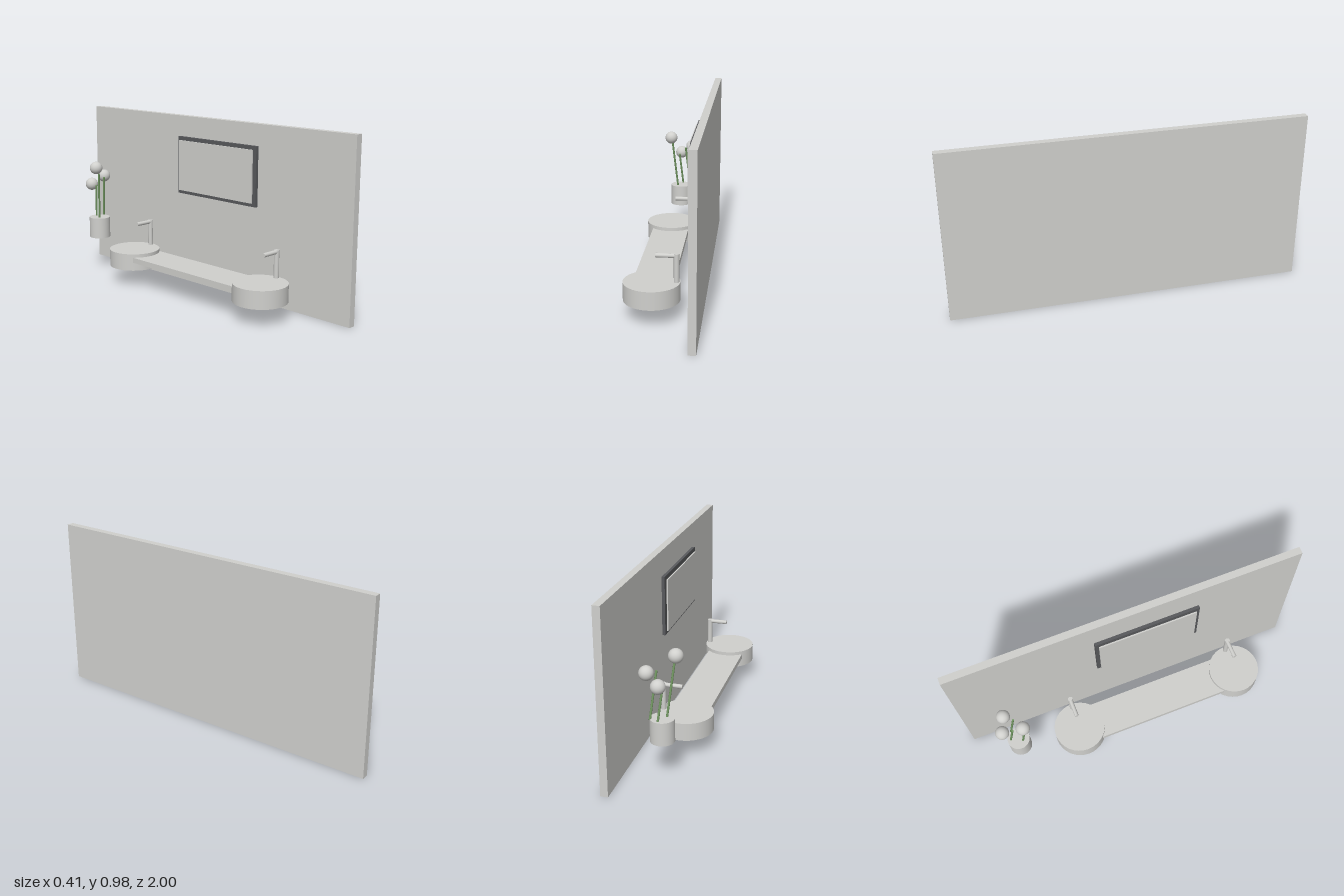
import * as THREE from 'three';

const mat = (name, color, flatShading = false) => {
  const m = new THREE.MeshStandardMaterial({ color, flatShading });
  m.name = name;
  return m;
};

export function createModel() {
  const model = new THREE.Group();
  const stone = mat('paleGrey', 0xd0d0cd);
  const frameDark = mat('darkGrey', 0x58595c);
  const green = mat('stemGreen', 0x749a64);

  const add = (name, geometry, material, x = 0, y = 0, z = 0, parent = model) => {
    const mesh = new THREE.Mesh(geometry, material);
    mesh.name = name;
    mesh.position.set(x, y, z);
    parent.add(mesh);
    return mesh;
  };

  // Box given by its limits on each axis
  const addBox = (name, material, [x0, x1], [y0, y1], [z0, z1]) =>
    add(name, new THREE.BoxGeometry(x1 - x0, y1 - y0, z1 - z0), material,
      (x0 + x1) / 2, (y0 + y1) / 2, (z0 + z1) / 2);

  // Cylinder running between two points
  const addRod = (name, material, from, to, radius, sides, parent) => {
    const a = new THREE.Vector3(...from);
    const b = new THREE.Vector3(...to);
    const dir = b.clone().sub(a);
    const mid = a.clone().add(b).multiplyScalar(0.5);
    const rod = add(name, new THREE.CylinderGeometry(radius, radius, dir.length(), sides),
      material, mid.x, mid.y, mid.z, parent);
    rod.quaternion.setFromUnitVectors(new THREE.Vector3(0, 1, 0), dir.normalize());
  };

  // Wall and the shelf joining the basins
  addBox('wall', stone, [0.162, 0.202], [0, 0.983], [-1, 1]);
  addBox('counter', stone, [-0.162, 0.05], [0.148, 0.178], [-0.39, 0.593]);

  // Mirror standing off the wall
  addBox('mirrorFrame', frameDark, [0.116, 0.133], [0.538, 0.869], [-0.195, 0.4]);
  addBox('mirrorGlass', stone, [0.104, 0.112], [0.558, 0.849], [-0.176, 0.38]);

  // Two round basins, each with a tap
  for (const z of [-0.39, 0.593]) {
    const washstand = new THREE.Group();
    washstand.name = 'washstand';
    model.add(washstand);
    add('basin', new THREE.CylinderGeometry(0.147, 0.147, 0.098, 32), stone, -0.058, 0.149, z, washstand);
    addRod('tapPost', stone, [0.069, 0.19, z], [0.069, 0.349, z], 0.014, 16, washstand);
    addRod('tapSpout', stone, [-0.037, 0.339, z], [0.062, 0.339, z], 0.0115, 16, washstand);
  }

  // Vase with three round blooms on leaning stems
  add('vase', new THREE.CylinderGeometry(0.063, 0.063, 0.125, 32), stone, -0.036, 0.2675, -0.742);
  const flowers = [
    { from: [-0.054, 0.325, -0.722], to: [-0.085, 0.62, -0.682], bloom: [-0.094, 0.648, -0.695] },
    { from: [0.019, 0.325, -0.769], to: [-0.006, 0.575, -0.73], bloom: [0.031, 0.577, -0.775] },
    { from: [-0.026, 0.325, -0.785], to: [-0.047, 0.527, -0.754], bloom: [-0.038, 0.528, -0.81] },
  ];
  for (const { from, to, bloom } of flowers) {
    addRod('stem', green, from, to, 0.006, 8);
    add('bloom', new THREE.SphereGeometry(0.038, 32, 16), stone, ...bloom);
  }

  return model;
}
